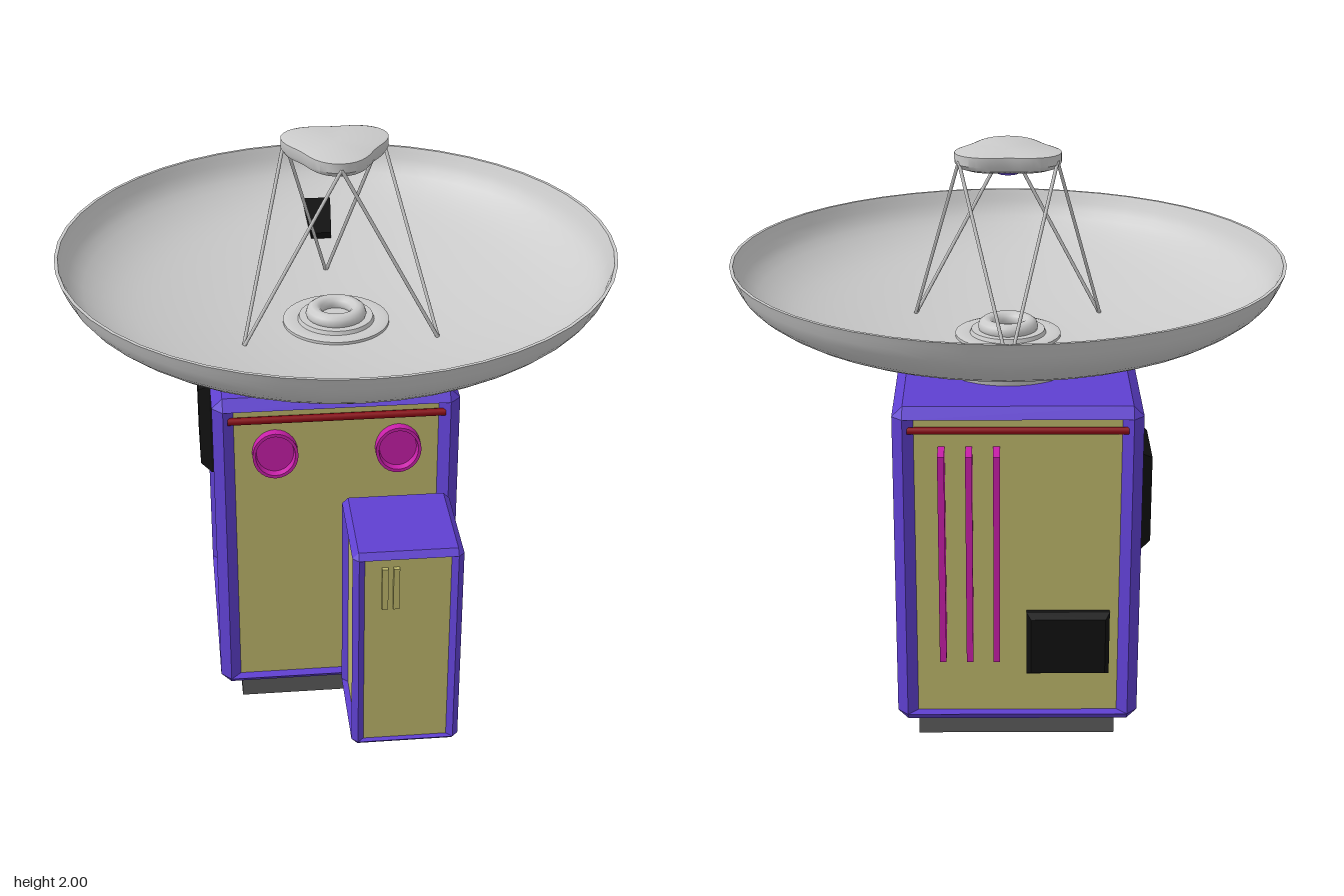
import * as THREE from 'three';
import { toCreasedNormals } from 'three/addons/utils/BufferGeometryUtils.js';
import { ConvexGeometry } from 'three/addons/geometries/ConvexGeometry.js';

const mat = (color, flat = false) => new THREE.MeshStandardMaterial({ color, flatShading: flat, side: THREE.DoubleSide });
const GREY = mat(0xcccccc), KHAKI = mat(0xbdb76b), BLUE = mat(0x5f40d0, true), PINK = mat(0xc71fa8);
const BLACK = mat(0x111111), RED = mat(0x8b0a14), DARK = mat(0x5c5c5c), GREEN = mat(0x2e8b57);

function add(parent, name, geometry, material, x = 0, y = 0, z = 0) {
  const m = new THREE.Mesh(geometry, material);
  m.name = name;
  m.position.set(x, y, z);
  parent.add(m);
  return m;
}

// Box given by its minimum and maximum on each axis
function box(parent, name, material, [x0, x1], [y0, y1], [z0, z1]) {
  return add(parent, name, new THREE.BoxGeometry(x1 - x0, y1 - y0, z1 - z0), material,
    (x0 + x1) / 2, (y0 + y1) / 2, (z0 + z1) / 2);
}

function rod(parent, name, material, a, b, r) {
  const p = new THREE.Vector3(...a), q = new THREE.Vector3(...b);
  const m = add(parent, name, new THREE.CylinderGeometry(r, r, p.distanceTo(q), 8), material);
  m.position.copy(p).lerp(q, 0.5);
  m.quaternion.setFromUnitVectors(new THREE.Vector3(0, 1, 0), q.sub(p).normalize());
  return m;
}

function lathe(points, segments = 40) {
  const g = new THREE.LatheGeometry(points.map(p => new THREE.Vector2(...p)), segments);
  return toCreasedNormals(g, 0.6);
}

// Box tapering from a base rectangle to a smaller face along +z
function taperedBox(w, h, d, c) {
  const pts = [];
  for (const sx of [-1, 1]) for (const sy of [-1, 1])
    pts.push(new THREE.Vector3(sx * w / 2, sy * h / 2, 0), new THREE.Vector3(sx * w / 2, sy * h / 2, d * 0.5),
      new THREE.Vector3(sx * (w / 2 - c), sy * (h / 2 - c), d));
  return new ConvexGeometry(pts);
}

// Khaki case with chamfered blue caps and diamond corner posts
function framedCase(name, hx, hz, y0, y1, c) {
  const g = new THREE.Group();
  g.name = name;
  const h = y1 - y0, mid = (y0 + y1) / 2;
  add(g, 'casePanels', new THREE.BoxGeometry(2 * (hx - c), h - 2 * c, 2 * (hz - c)), KHAKI, 0, mid, 0);
  const pts = [];
  for (const sx of [-1, 1]) for (const sz of [-1, 1]) {
    add(g, 'cornerPost', new THREE.CylinderGeometry(c, c, h - 2 * c, 4), BLUE, sx * (hx - c), mid, sz * (hz - c));
    pts.push(new THREE.Vector3(sx * hx, 0, sz * (hz - c)), new THREE.Vector3(sx * (hx - c), 0, sz * hz),
      new THREE.Vector3(sx * (hx - c), c, sz * (hz - c)));
  }
  const cap = new ConvexGeometry(pts);
  add(g, 'topCap', cap, BLUE, 0, y1 - c, 0);
  add(g, 'bottomCap', cap, BLUE, 0, y0 + c, 0).rotation.x = Math.PI;
  return g;
}

export function createModel() {
  const model = new THREE.Group();
  model.name = 'dishSatellite';
  const cx = -0.03, cz = -0.05;

  // Main body
  const body = framedCase('body', 0.41, 0.41, 0.1, 1.25, 0.035);
  body.position.set(cx, 0, cz);
  model.add(body);

  // Red trim rods near the top of every side
  for (let i = 0; i < 4; i++) {
    const side = new THREE.Group();
    side.name = 'trimSide';
    side.rotation.y = i * Math.PI / 2;
    body.add(side);
    rod(side, 'trimRod', RED, [-0.36, 1.17, 0.388], [0.36, 1.17, 0.388], 0.013);
  }

  // Round pans on the front and left sides
  const pan = lathe([[0, 0.008], [0.062, 0.008], [0.066, 0.03], [0.076, 0.03], [0.076, 0]], 28);
  for (const ry of [0, Math.PI / 2]) {
    const side = new THREE.Group();
    side.name = 'panSide';
    side.rotation.y = ry;
    body.add(side);
    for (const s of [-1, 1]) {
      const m = add(side, 'roundPan', pan, PINK, s * 0.205, 1.04, 0.375);
      m.rotation.x = Math.PI / 2;
      m.scale.z = 1.12;
    }
  }

  // Side panel, back fins and equipment boxes
  box(model, 'darkPanel', BLACK, [0.34, 0.362], [0.155, 0.755], [-0.375, 0.28]);
  for (const x of [0.04, 0.13, 0.22])
    box(model, 'backFin', PINK, [x - 0.011, x + 0.011], [0.37, 1.11], [-0.52, -0.42]);
  add(model, 'backBox', taperedBox(0.28, 0.23, 0.05, 0.015), BLACK, -0.2, 0.4, -0.42).rotation.y = Math.PI;
  add(model, 'sideBox', taperedBox(0.3, 0.35, 0.075, 0.025), BLACK, -0.4, 0.895, -0.24).rotation.y = -Math.PI / 2;

  // Base plate with four cups underneath
  box(model, 'basePlate', DARK, [-0.365, 0.31], [0.02, 0.11], [-0.385, 0.305]);
  const cup = lathe([[0, 0.018], [0.112, 0.018], [0.116, 0], [0.126, 0], [0.126, 0.03]], 32);
  for (const x of [-0.19, 0.145]) for (const z of [-0.21, 0.12]) add(model, 'baseCup', cup, PINK, x, 0, z);

  // Front pod with vents, held by slanted green struts
  const pod = framedCase('frontPod', 0.18, 0.185, 0.13, 0.9, 0.02);
  pod.position.set(0.16, 0, 0.577);
  model.add(pod);
  for (const x of [0.085, 0.122])
    box(model, 'podVent', KHAKI, [x - 0.01, x + 0.01], [0.685, 0.84], [0.73, 0.757]);
  for (const x of [0.05, 0.27]) for (const [a, b] of [[0.76, 0.72], [0.29, 0.34]])
    rod(model, 'podStrut', GREEN, [x, a, 0.32], [x, b, 0.42], 0.009);

  // Neck and dish
  add(model, 'neck', lathe([[0, 1.245], [0.235, 1.245], [0.24, 1.27], [0.18, 1.277], [0.18, 1.3],
    [0.21, 1.305], [0.22, 1.345], [0, 1.345]]), GREY);
  const curve = new THREE.SplineCurve([[0, 1.335], [0.25, 1.345], [0.5, 1.382], [0.74, 1.448], [0.88, 1.535], [0.93, 1.63]]
    .map(p => new THREE.Vector2(...p)));
  const outer = curve.getPoints(20).map(p => [Math.max(p.x, 0), p.y]);
  const inner = outer.map(([x, y]) => [x * 0.988, y + 0.012 * (1.63 - y) / 0.29]).reverse();
  add(model, 'dish', lathe([...outer, ...inner], 48), GREY);

  // Feed rings at the dish centre
  add(model, 'feedBase', lathe([[0.18, 1.345], [0.18, 1.362], [0.165, 1.366], [0.13, 1.362], [0.125, 1.375], [0, 1.375]]), GREY);
  add(model, 'feedRing', new THREE.TorusGeometry(0.075, 0.028, 10, 32), GREY, 0, 1.385, 0).rotation.x = Math.PI / 2;

  // Tapered box lying on the dish at the rear
  const slab = new THREE.BoxGeometry(0.1, 0.03, 0.2);
  const p = slab.attributes.position;
  for (let i = 0; i < p.count; i++) if (p.getZ(i) > 0) p.setX(i, p.getX(i) * 0.72);
  add(model, 'dishBox', slab, BLACK, 0, 1.445, -0.65).rotation.x = 0.28;

  // Rounded three-cornered reflector head
  const head = new THREE.LatheGeometry([[0, 1.94], [0.13, 1.94], [0.155, 1.95], [0.165, 1.965], [0.165, 1.997], [0.155, 2], [0, 2]]
    .map(q => new THREE.Vector2(...q)), 48);
  const hp = head.attributes.position;
  for (let i = 0; i < hp.count; i++) {
    const k = 1 + 0.15 * Math.cos(3 * Math.atan2(hp.getX(i), hp.getZ(i)));
    hp.setX(i, hp.getX(i) * k);
    hp.setZ(i, hp.getZ(i) * k);
  }
  add(model, 'reflectorHead', toCreasedNormals(head, 0.6), GREY);
  add(model, 'headFeed', new THREE.CylinderGeometry(0.045, 0.035, 0.03, 20), BLUE, 0, 1.93, 0);

  // Six struts from the head corners down to three feet on the dish
  const polar = (r, deg, y) => [r * Math.sin(deg * Math.PI / 180), y, r * Math.cos(deg * Math.PI / 180)];
  for (const deg of [0, 120, 240]) for (const s of [-60, 60])
    rod(model, 'headStrut', GREY, polar(0.186, deg, 1.975), polar(0.375, deg + s, 1.362), 0.006);

  return model;
}
